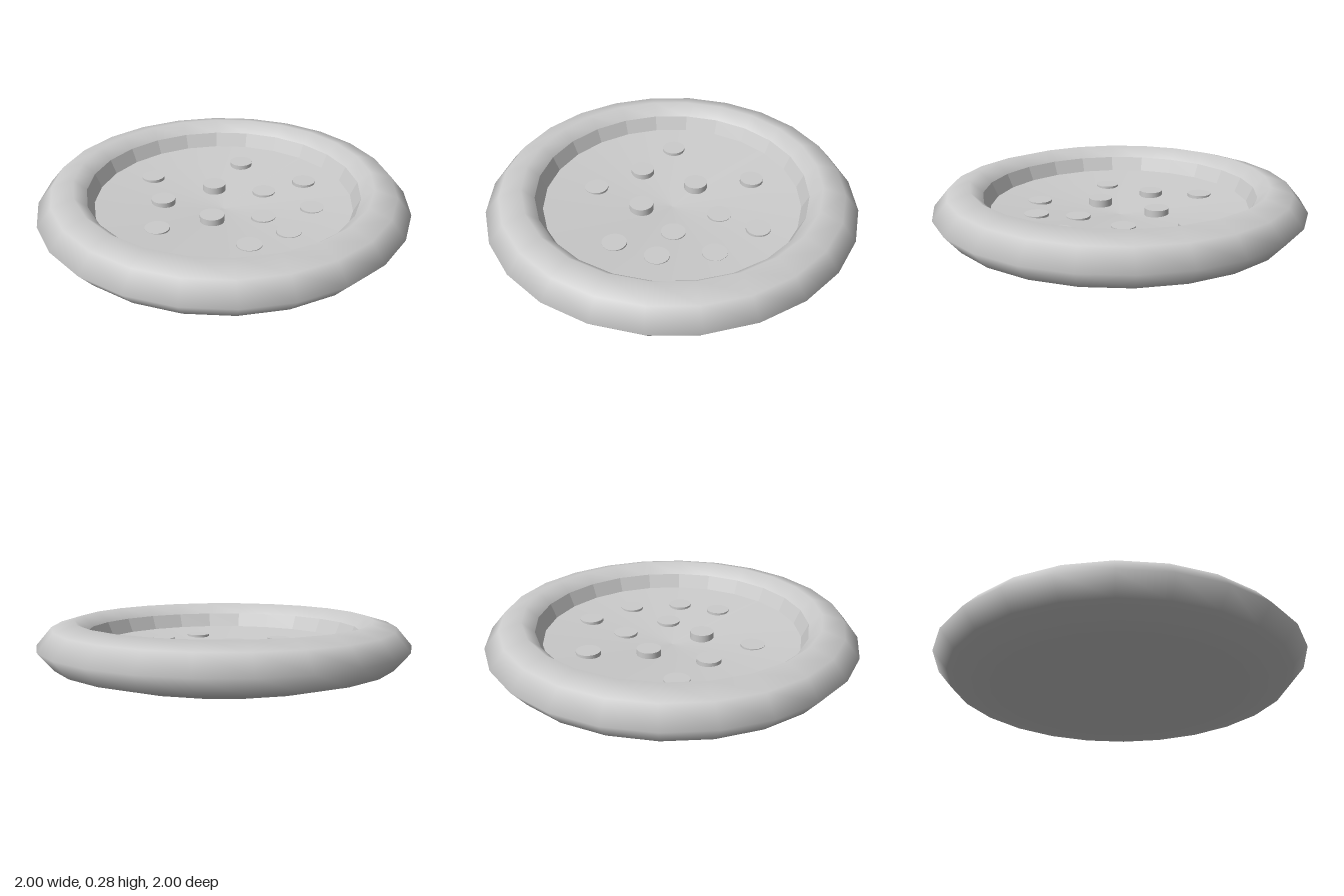
import * as THREE from 'three';

const SIDES = 24;

export function createModel() {
  const model = new THREE.Group();
  model.name = 'pizza';
  const smooth = new THREE.MeshStandardMaterial({ color: 0xcccccc });
  const faceted = new THREE.MeshStandardMaterial({ color: 0xcccccc, flatShading: true });

  // Revolves a [radius, height] profile around the upright axis
  const ring = (name, profile, material) => {
    const points = profile.map(([r, y]) => new THREE.Vector2(r, y));
    const mesh = new THREE.Mesh(new THREE.LatheGeometry(points, SIDES), material);
    mesh.name = name;
    model.add(mesh);
  };

  // Puffy rim, from the underside round the outside to the inner lip
  ring('crust', [[0.745, 0], [0.92, 0.05], [1, 0.145], [0.92, 0.24], [0.8, 0.275], [0.735, 0.215]], smooth);
  // Faceted inner wall down to the filling
  ring('innerWall', [[0.735, 0.215], [0.7, 0.137]], faceted);
  // Shallow dished filling
  ring('filling', [[0.7, 0.137], [0, 0.075]], smooth);
  // Underside, slightly recessed inside the rim
  ring('base', [[0, 0.013], [0.7, 0.013]], smooth);
  ring('baseStep', [[0.7, 0.013], [0.745, 0]], faceted);

  // Round toppings: x, z, height of the top face
  const toppings = [
    [-0.18, -0.47, 0.132], [0.35, -0.335, 0.138], [-0.265, -0.2, 0.13], [0.065, -0.195, 0.13],
    [-0.44, 0.045, 0.122], [-0.14, 0.1, 0.13], [0.275, 0, 0.108], [0.51, 0.065, 0.134],
    [0.1, 0.23, 0.108], [0.36, 0.32, 0.125], [-0.14, 0.44, 0.125], [0.1, 0.45, 0.125],
  ];
  const disc = new THREE.CylinderGeometry(0.065, 0.065, 0.04, 24);
  toppings.forEach(([x, z, top], i) => {
    const mesh = new THREE.Mesh(disc, smooth);
    mesh.name = `topping${i + 1}`;
    mesh.position.set(x, top - 0.02, z);
    model.add(mesh);
  });

  return model;
}
